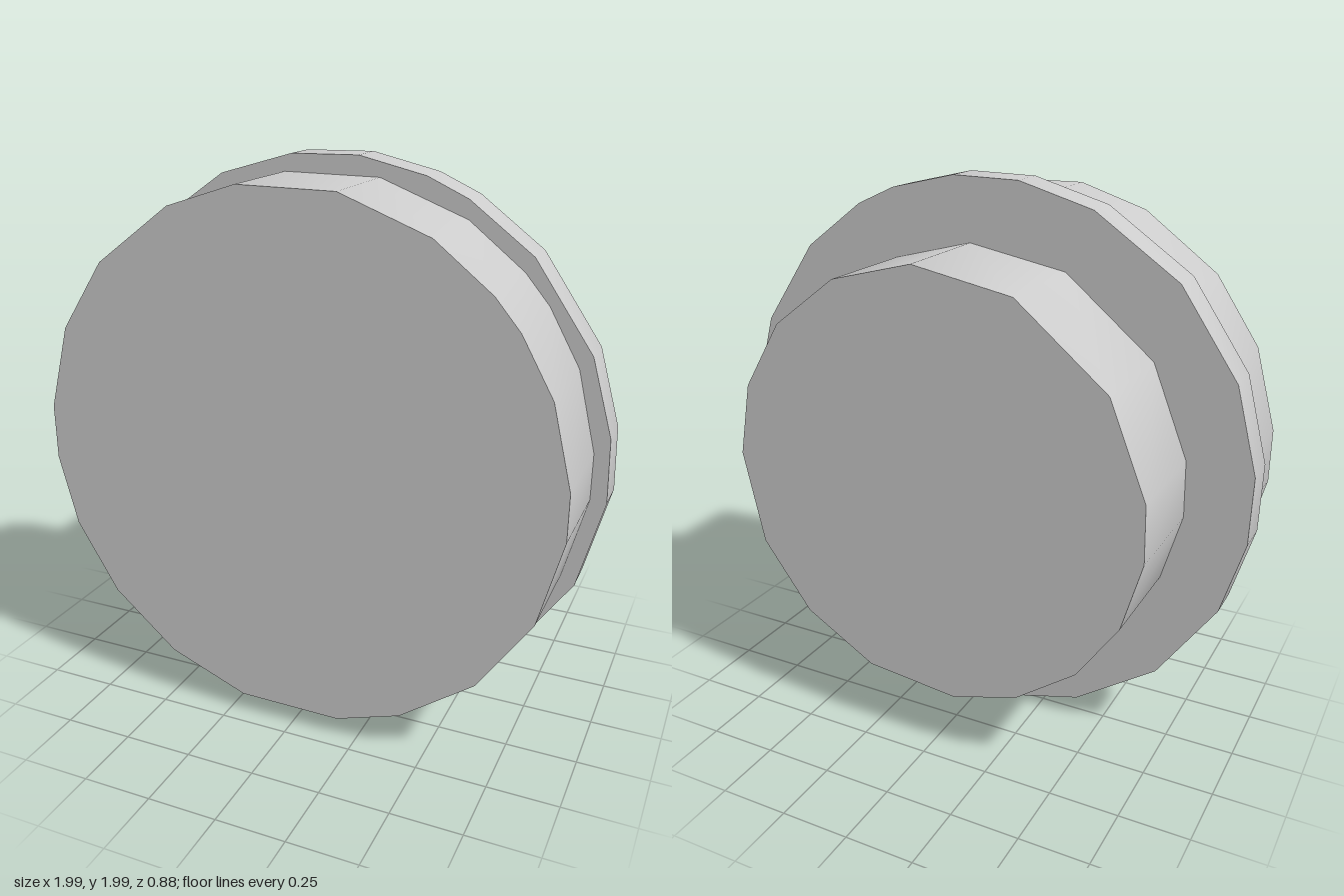
import * as THREE from 'three';
import { toCreasedNormals } from 'three/addons/utils/BufferGeometryUtils.js';

const material = new THREE.MeshStandardMaterial({ color: 0xcccccc });

// Disc with an irregular faceted outline: smooth rim, flat faces
function disc(name, radius, zBack, zFront, degrees) {
  const points = degrees.map((d) => {
    const a = THREE.MathUtils.degToRad(d);
    return new THREE.Vector2(radius * Math.cos(a), radius * Math.sin(a));
  });
  const geometry = new THREE.ExtrudeGeometry(new THREE.Shape(points), {
    depth: zFront - zBack,
    bevelEnabled: false,
  });
  const mesh = new THREE.Mesh(toCreasedNormals(geometry, 0.9), material);
  mesh.name = name;
  mesh.position.set(0, 1, zBack);
  return mesh;
}

export function createModel() {
  const group = new THREE.Group();
  group.name = 'steppedPlug';

  // Wide front drum
  group.add(disc('frontDrum', 0.944, 0.08, 0.44,
    [5, 22.5, 36, 44, 59, 79, 100, 116, 137, 155, 174, 186, 202, 220, 239, 258, 281, 296, 316, 336, 355]));

  // Thin flange between the two drums
  group.add(disc('flange', 1, -0.045, 0.087,
    [8, 24, 45, 61, 70, 84, 98, 114, 135, 156, 174, 188, 204, 225, 246, 264, 278, 294, 315, 336, 355]));

  // Narrower rear drum
  group.add(disc('rearDrum', 0.773, -0.44, -0.04,
    [1, 21, 42, 64, 87, 114, 145, 171, 186, 205, 224, 244, 263, 289, 312, 335]));

  return group;
}
